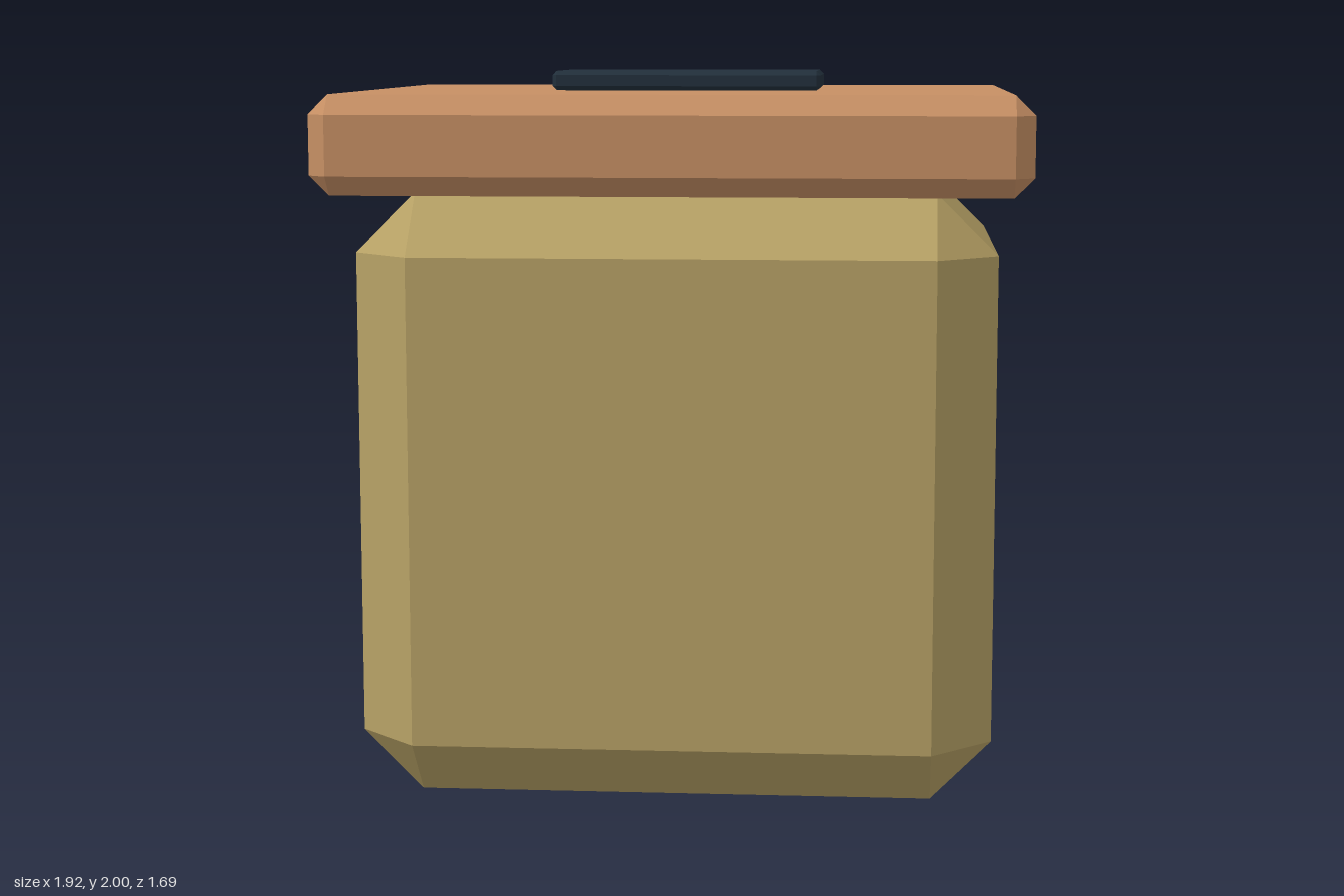
import * as THREE from 'three';
import { ConvexGeometry } from 'three/addons/geometries/ConvexGeometry.js';

// Box with every edge cut at 45 degrees, given by its [min, max] extents
function chamferedBox(name, [x0, x1], [y0, y1], [z0, z1], c, color) {
  const hx = (x1 - x0) / 2, hy = (y1 - y0) / 2, hz = (z1 - z0) / 2;
  const points = [];
  for (const sx of [-1, 1]) for (const sy of [-1, 1]) for (const sz of [-1, 1]) {
    points.push(
      new THREE.Vector3(sx * hx, sy * (hy - c), sz * (hz - c)),
      new THREE.Vector3(sx * (hx - c), sy * hy, sz * (hz - c)),
      new THREE.Vector3(sx * (hx - c), sy * (hy - c), sz * hz)
    );
  }
  const mesh = new THREE.Mesh(
    new ConvexGeometry(points),
    new THREE.MeshStandardMaterial({ color, flatShading: true })
  );
  mesh.name = name;
  mesh.position.set((x0 + x1) / 2, (y0 + y1) / 2, (z0 + z1) / 2);
  return mesh;
}

export function createModel() {
  const model = new THREE.Group();
  model.name = 'jar';
  model.add(
    // heavily chamfered container
    chamferedBox('body', [-0.877, 0.877], [0, 1.677], [-0.742, 0.765], 0.167, 0xb8a266),
    // overhanging lid
    chamferedBox('lid', [-0.96, 0.96], [1.677, 1.945], [-0.828, 0.845], 0.053, 0xc68f64),
    // thin plate on the lid
    chamferedBox('lidPlate', [-0.383, 0.383], [1.945, 2], [-0.187, 0.203], 0.012, 0x22303c),
    // label standing just off the back
    chamferedBox('backLabel', [-0.383, 0.383], [0.77, 1.327], [-0.845, -0.763], 0.014, 0xd6d5c8)
  );
  return model;
}
